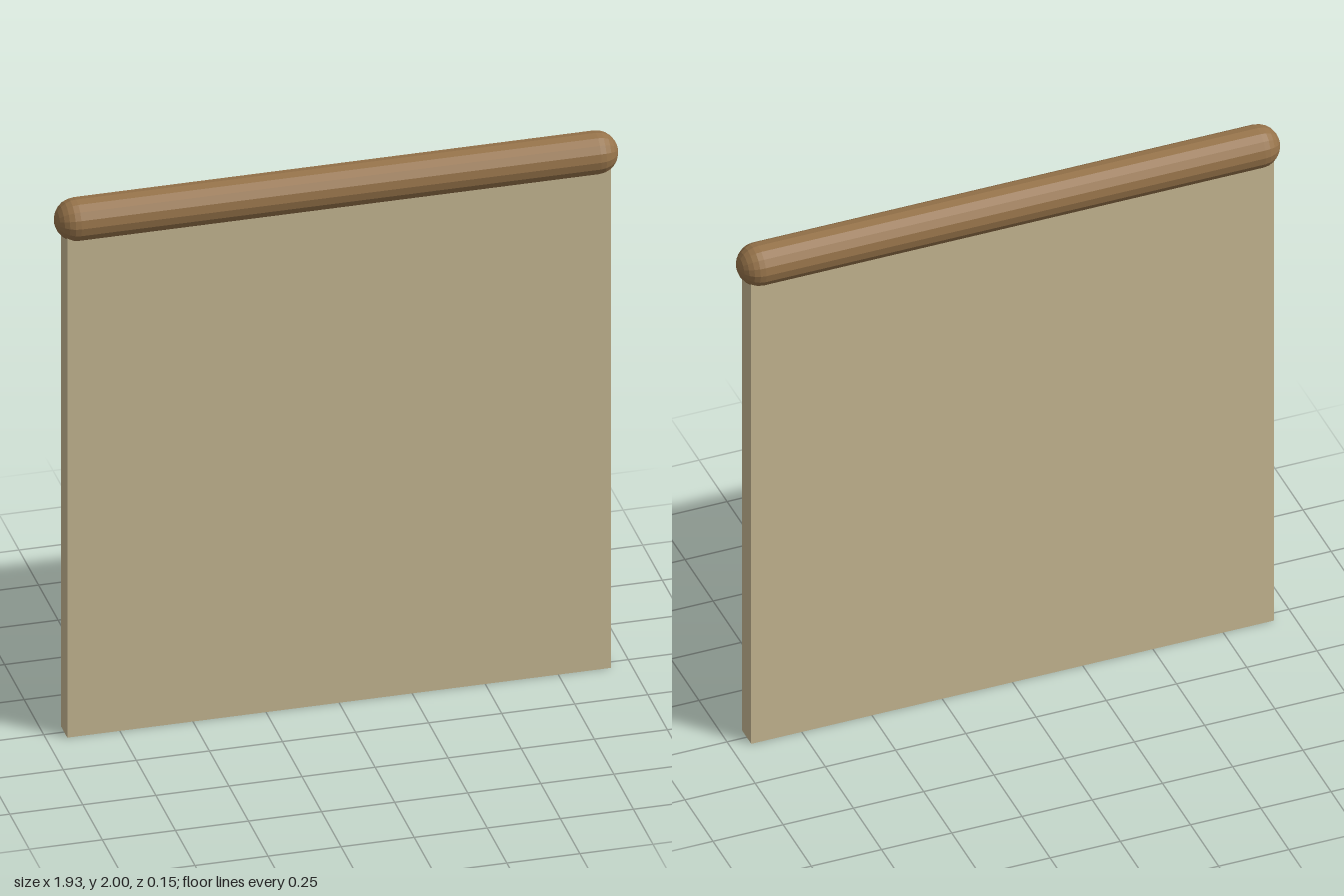
import * as THREE from 'three';

export function createModel() {
  const model = new THREE.Group();
  const R = 0.074, halfLength = 0.963, railY = 2 - R;

  function add(name, geometry, color, y, flatShading) {
    const mesh = new THREE.Mesh(geometry, new THREE.MeshStandardMaterial({ color, flatShading }));
    mesh.name = name;
    mesh.position.y = y;
    model.add(mesh);
    return mesh;
  }

  // flat panel, its top edge hidden inside the rail
  add('panel', new THREE.BoxGeometry(1.86, railY, 0.08), 0xc8b994, railY / 2, false);

  // round-ended rail lying along the top edge
  const rail = new THREE.CapsuleGeometry(R, 2 * (halfLength - R), 6, 16);
  rail.rotateZ(Math.PI / 2);
  add('topRail', rail, 0x96734a, railY, true);

  return model;
}
